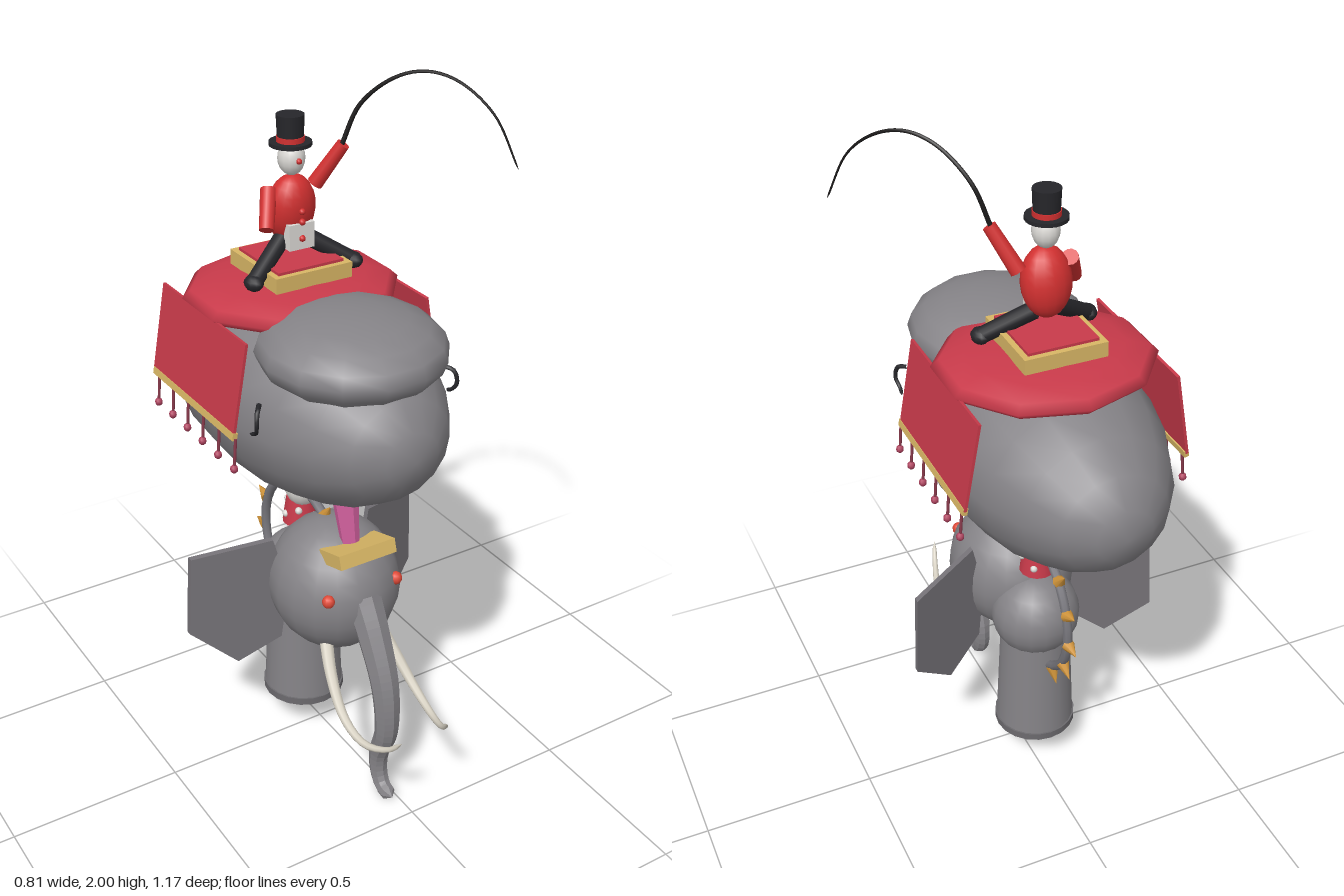
import * as THREE from 'three';

const V = (a) => new THREE.Vector3(...a);
const GREY = 0x858387, RED = 0xd23030, CLOTH = 0xc83a4a, GOLD = 0xd8b665, DARK = 0x26262a, IVORY = 0xd8d2c4, WHITE = 0xdcdad6;

function mat(color, opts = {}) {
  return new THREE.MeshStandardMaterial({ color, ...opts });
}

export function createModel() {
  const root = new THREE.Group();
  root.name = 'elephantWithRider';
  const model = new THREE.Group();
  model.name = 'figure';
  model.position.x = -0.028;
  root.add(model);

  const add = (name, geo, color, pos = [0, 0, 0], opts) => {
    const m = new THREE.Mesh(geo, mat(color, opts));
    m.name = name;
    m.position.set(...pos);
    model.add(m);
    return m;
  };
  // Ellipsoid with its poles along z or y
  const blob = (name, color, pos, r, w = 16, h = 12, polesOnZ = false) => {
    const g = new THREE.SphereGeometry(1, w, h);
    if (polesOnZ) g.rotateX(Math.PI / 2);
    g.scale(...r);
    return add(name, g, color, pos);
  };
  // Straight rod or cone between two points
  const rod = (name, color, a, b, r0, r1 = r0, sides = 12, opts) => {
    const d = V(b).sub(V(a));
    const m = add(name, new THREE.CylinderGeometry(r1, r0, d.length(), sides), color,
      V(a).addScaledVector(d, 0.5).toArray(), opts);
    m.quaternion.setFromUnitVectors(new THREE.Vector3(0, 1, 0), d.normalize());
    return m;
  };
  // Curved tube narrowing from r0 to r1, closed at its tip
  const taper = (name, color, pts, r0, r1, steps, sides, opts) => {
    const curve = new THREE.CatmullRomCurve3(pts.map(V));
    const g = new THREE.TubeGeometry(curve, steps, 1, sides);
    const p = g.attributes.position, v = new THREE.Vector3();
    for (let i = 0; i <= steps; i++) {
      const c = curve.getPointAt(i / steps);
      const r = i === steps ? 0.0001 : r0 + (r1 - r0) * i / steps;
      for (let j = 0; j <= sides; j++) {
        const k = i * (sides + 1) + j;
        v.fromBufferAttribute(p, k).sub(c).multiplyScalar(r).add(c);
        p.setXYZ(k, v.x, v.y, v.z);
      }
    }
    return add(name, g, color, [0, 0, 0], opts);
  };

  // Large upper body and brow
  blob('upperBody', GREY, [0, 1.158, -0.042], [0.302, 0.283, 0.543], 16, 12, true);
  blob('brow', GREY, [0, 1.35, 0.2], [0.25, 0.112, 0.258], 14, 10);

  // Saddle cloth
  const cloth = new THREE.SphereGeometry(1, 10, 8);
  cloth.rotateY(Math.PI / 10);
  cloth.scale(0.3, 0.055, 0.272);
  add('saddleCloth', cloth, CLOTH, [0, 1.408, -0.1]);

  // Saddle: cushion inside a gold frame
  add('saddleBase', new THREE.BoxGeometry(0.22, 0.03, 0.236), GOLD, [0, 1.468, -0.103]);
  for (const s of [-1, 1]) {
    add('frameSide', new THREE.BoxGeometry(0.016, 0.042, 0.246), GOLD, [s * 0.107, 1.476, -0.103]);
    add('frameEnd', new THREE.BoxGeometry(0.2, 0.042, 0.016), GOLD, [0, 1.476, -0.103 + s * 0.115]);
  }
  add('cushion', new THREE.BoxGeometry(0.196, 0.03, 0.212), CLOTH, [0, 1.489, -0.103]);

  // Mirrored parts
  for (const s of [-1, 1]) {
    // Side drape, trim and tassels
    const tilt = Math.atan2(0.042, 0.24);
    const drape = add('drape', new THREE.BoxGeometry(0.008, 0.25, 0.455), CLOTH, [s * 0.294, 1.28, -0.085]);
    drape.rotation.z = s * tilt;
    add('drapeTrim', new THREE.BoxGeometry(0.014, 0.02, 0.455), GOLD, [s * 0.315, 1.154, -0.082]).rotation.z = s * tilt;
    for (let i = 0; i < 6; i++) {
      const z = 0.148 - i * 0.087;
      rod('tasselCord', 0x8a3a4c, [s * 0.315, 1.15, z], [s * 0.321, 1.07, z], 0.004, 0.004, 6);
      blob('tasselBead', 0xb04460, [s * 0.322, 1.065, z], [0.011, 0.012, 0.011], 8, 6);
    }
    // Closed eye of the upper body
    const z = s > 0 ? 0.26 : 0.2, x = s > 0 ? 0.272 : 0.288;
    taper('closedEye', DARK, [[s * (x - 0.02), 1.255, z - 0.01], [s * x, 1.245, z + 0.015], [s * (x + 0.006), 1.21, z + 0.022],
      [s * x, 1.185, z + 0.005], [s * (x + 0.004), 1.175, z - 0.02]], 0.007, 0.005, 12, 6);

    // Ear: flat plate swept back toward its outer edge
    const outline = [[0.12, 0.58], [0.14, 0.41], [0.255, 0.33], [0.378, 0.438], [0.366, 0.69], [0.158, 0.738]];
    const shape = new THREE.Shape(outline.map(([px, py]) => new THREE.Vector2(s * px, py)));
    const ear = new THREE.ExtrudeGeometry(shape, { depth: 0.018, bevelEnabled: false });
    const p = ear.attributes.position;
    for (let i = 0; i < p.count; i++) p.setZ(i, p.getZ(i) + 0.045 - (Math.abs(p.getX(i)) - 0.14) * 0.46);
    ear.computeVertexNormals();
    add('ear', ear, 0x747176);

    // Tusk and eye
    taper('tusk', IVORY, [[s * 0.07, 0.52, 0.18], [s * 0.105, 0.4, 0.275], [s * 0.12, 0.315, 0.37],
      [s * 0.114, 0.288, 0.46], [s * 0.09, 0.315, 0.54], [s * 0.074, 0.36, 0.582]], 0.022, 0.006, 20, 8);
    blob('eye', 0xe04a38, [s * 0.11, 0.642, 0.268], [0.018, 0.019, 0.018], 10, 8);

    // Rider's leg with boot
    rod('leg', DARK, [s * 0.03, 1.555, -0.095], [s * 0.15, 1.478, -0.035], 0.024, 0.022);
    blob('boot', DARK, [s * 0.152, 1.477, -0.033], [0.025, 0.022, 0.03], 10, 8);
  }

  // Lower elephant: head, torso, pedestal leg, trunk
  blob('head', GREY, [0, 0.595, 0.12], [0.184, 0.198, 0.195], 18, 14);
  blob('torso', GREY, [0, 0.53, -0.05], [0.13, 0.132, 0.13], 18, 12);
  add('pedestalLeg', new THREE.CylinderGeometry(0.1, 0.117, 0.41, 20), GREY, [0, 0.33, -0.05]);
  add('pedestalRim', new THREE.CylinderGeometry(0.121, 0.121, 0.022, 20), 0x6c6a6e, [0, 0.127, -0.05]);
  taper('trunk', GREY, [[0, 0.62, 0.27], [0, 0.53, 0.325], [0, 0.39, 0.388], [0, 0.24, 0.4], [0, 0.13, 0.365],
    [0, 0.065, 0.37], [0, 0.03, 0.395], [0, 0.023, 0.44]], 0.052, 0.021, 32, 8, { flatShading: true });

  // Forehead block and the pleated post above it
  add('foreheadBlock', new THREE.BoxGeometry(0.178, 0.04, 0.105), GOLD, [0, 0.757, 0.243]).rotation.x = -0.3;
  rod('pleatedPost', 0xcf5f9c, [0, 0.76, 0.205], [0, 0.95, 0.165], 0.026, 0.042, 9, { flatShading: true });

  // Spiked ring
  const ring = add('ring', new THREE.TorusGeometry(0.217, 0.014, 8, 36), 0x77767c, [0, 0.59, -0.05]);
  ring.rotation.y = Math.PI / 2;
  for (let i = 0; i < 14; i++) {
    const a = 0.32 + i * Math.PI / 7;
    const at = (r) => [0, 0.59 + Math.cos(a) * r, -0.05 - Math.sin(a) * r];
    rod('spike', 0xd0943a, at(0.222), at(0.272), 0.019, 0.0005, 8);
  }

  // Small passenger between the two bodies
  blob('passengerHead', WHITE, [0, 0.825, -0.048], [0.055, 0.07, 0.054], 14, 10);
  add('passengerCoat', new THREE.CylinderGeometry(0.04, 0.052, 0.08, 14), CLOTH, [0, 0.735, -0.062]);
  for (let i = 0; i < 6; i++) {
    const a = i * Math.PI / 3 + 0.4;
    blob('coatSpot', WHITE, [Math.sin(a) * 0.045, 0.725 + (i % 2) * 0.024, -0.062 + Math.cos(a) * 0.045], [0.011, 0.011, 0.011], 8, 6);
  }

  // Rider
  blob('riderTorso', RED, [0, 1.632, -0.1], [0.068, 0.095, 0.056], 16, 12).rotation.x = 0.15;
  add('shirtFront', new THREE.BoxGeometry(0.075, 0.07, 0.03), WHITE, [0, 1.57, -0.058]);
  for (const y of [1.565, 1.61, 1.638]) blob('button', RED, [0, y, -0.042], [0.009, 0.009, 0.009], 8, 6);
  blob('riderHead', WHITE, [0, 1.768, -0.095], [0.036, 0.046, 0.038], 14, 10);
  blob('nose', RED, [0, 1.768, -0.056], [0.008, 0.008, 0.008], 8, 6);
  add('hatBrim', new THREE.CylinderGeometry(0.056, 0.056, 0.01, 20), DARK, [0, 1.806, -0.099]);
  add('hatBand', new THREE.CylinderGeometry(0.037, 0.037, 0.014, 20), RED, [0, 1.818, -0.099]);
  add('hatCrown', new THREE.CylinderGeometry(0.037, 0.034, 0.074, 20), DARK, [0, 1.844, -0.099]);
  rod('rightUpperArm', RED, [-0.06, 1.69, -0.11], [-0.102, 1.605, -0.05], 0.022, 0.02);
  rod('leftUpperArm', RED, [0.08, 1.68, -0.11], [0.135, 1.79, -0.06], 0.022, 0.018);

  // Whip
  taper('whip', 0x1c1a1a, [[0.13, 1.785, -0.062], [0.168, 1.895, -0.035], [0.224, 1.972, 0.035], [0.277, 1.995, 0.097],
    [0.33, 1.977, 0.16], [0.384, 1.905, 0.24], [0.43, 1.77, 0.292]], 0.0065, 0.0025, 40, 6);

  return root;
}
